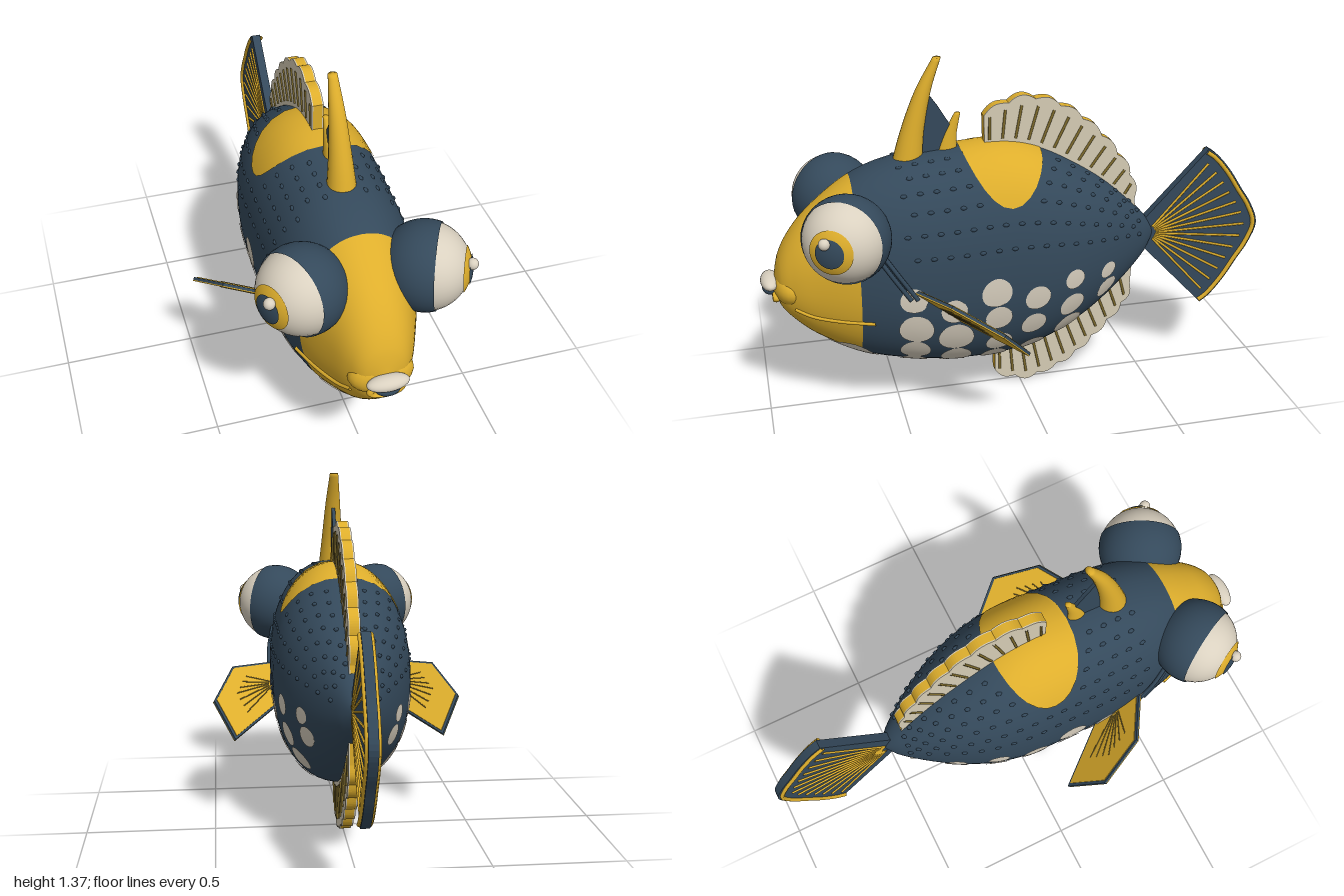
import * as THREE from 'three';
import { mergeVertices, mergeGeometries } from 'three/addons/utils/BufferGeometryUtils.js';

const V = (x, y, z) => new THREE.Vector3(x, y, z);
const mat = (name, color) => new THREE.MeshStandardMaterial({ name, color, side: THREE.DoubleSide });

// Body stations: z, top, bottom, half width
const ST = [
  [-0.548, 0.61, 0.59, 0.008], [-0.5, 0.685, 0.51, 0.06], [-0.35, 0.83, 0.37, 0.16], [-0.2, 0.935, 0.265, 0.228],
  [-0.05, 1.01, 0.195, 0.262], [0.1, 1.035, 0.163, 0.267], [0.3, 1.02, 0.163, 0.265], [0.5, 0.995, 0.195, 0.252],
  [0.65, 0.94, 0.24, 0.215], [0.8, 0.83, 0.325, 0.155], [0.88, 0.74, 0.395, 0.115], [0.93, 0.645, 0.46, 0.07], [0.948, 0.56, 0.52, 0.01],
];
const slope = (i, k) => {
  const a = ST[Math.max(i - 1, 0)], b = ST[Math.min(i + 1, ST.length - 1)];
  return (b[k] - a[k]) / (b[0] - a[0]);
};
function station(z) {
  let i = 0;
  while (i < ST.length - 2 && z > ST[i + 1][0]) i++;
  const d = ST[i + 1][0] - ST[i][0], t = THREE.MathUtils.clamp((z - ST[i][0]) / d, 0, 1);
  const [top, bot, w] = [1, 2, 3].map(k => {
    const t2 = t * t, t3 = t2 * t;
    return (2 * t3 - 3 * t2 + 1) * ST[i][k] + (t3 - 2 * t2 + t) * d * slope(i, k)
      + (3 * t2 - 2 * t3) * ST[i + 1][k] + (t3 - t2) * d * slope(i + 1, k);
  });
  return { top, bot, w, c: (top + bot) / 2, h: (top - bot) / 2 };
}
const POW = 0.92;
const sp = v => Math.sign(v) * Math.abs(v) ** POW;
// Point on the body; angle 0 is the back ridge, PI the belly
function skin(z, a, off = 0) {
  const s = station(z);
  return V((s.w + off) * sp(Math.sin(a)), s.c + (s.h + off) * sp(Math.cos(a)), z);
}
function angleAt(z, y) {
  const s = station(z), k = THREE.MathUtils.clamp((y - s.c) / s.h, -1, 1);
  return Math.acos(Math.sign(k) * Math.abs(k) ** (1 / POW));
}
// Surface facing along du x dv
function surface(fn, nu, nv) {
  const pos = [], idx = [];
  for (let i = 0; i <= nu; i++) for (let j = 0; j <= nv; j++) pos.push(...fn(i / nu, j / nv).toArray());
  for (let i = 0; i < nu; i++) for (let j = 0; j < nv; j++) {
    const a = i * (nv + 1) + j, b = a + nv + 1;
    idx.push(a, b, b + 1, a, b + 1, a + 1);
  }
  let g = new THREE.BufferGeometry();
  g.setAttribute('position', new THREE.Float32BufferAttribute(pos, 3));
  g.setIndex(idx);
  g = mergeVertices(g, 1e-5);
  g.computeVertexNormals();
  return g;
}
const bodyPart = (z0, z1, n) => surface((u, v) => skin(z0 + (z1 - z0) * u, v * Math.PI * 2), n, 56);
const patch = (z, a, rz, ra, n) => surface((u, v) => {
  const t = v * Math.PI * 2;
  return skin(z + rz * u * Math.cos(t), a + ra * u * Math.sin(t), 0.004);
}, n, 28);
const spline = pts => new THREE.CatmullRomCurve3(pts, false, 'centripetal');
const tube = (pts, r, n = 16) => new THREE.TubeGeometry(spline(pts), n, r, 6);
const rod = (a, b, r) => new THREE.TubeGeometry(new THREE.LineCurve3(a, b), 1, r, 6);
function ball(r, sx, sy, sz, x, y, z) {
  return new THREE.SphereGeometry(r, 24, 16).scale(sx, sy, sz).translate(x, y, z);
}
// Slab across x from an outline of points in the z-y plane
function slab(pts, thick, x = 0) {
  const shape = new THREE.Shape(pts.map(p => new THREE.Vector2(p.z, p.y)));
  return new THREE.ExtrudeGeometry(shape, { depth: thick, bevelEnabled: false })
    .translate(0, 0, -thick / 2).rotateY(-Math.PI / 2).translate(x, 0, 0);
}
// Mirrored copy across x = 0 with corner order restored
function mirrored(g) {
  const m = (g.index ? g.toNonIndexed() : g.clone()).scale(-1, 1, 1);
  for (const at of Object.values(m.attributes)) {
    const n = at.itemSize, A = at.array;
    for (let i = 0; i < at.count; i += 3) for (let k = 0; k < n; k++) {
      const p = (i + 1) * n + k, q = (i + 2) * n + k;
      [A[p], A[q]] = [A[q], A[p]];
    }
  }
  return m;
}

export function createModel() {
  const model = new THREE.Group();
  const blue = mat('slateBlue', 0x34495b), yellow = mat('goldenYellow', 0xdeae2c);
  const cream = mat('cream', 0xdad1c0), finCream = mat('finCream', 0xd5ccb4), olive = mat('oliveRay', 0x7d6a2c);
  const add = (name, g, m) => { const o = new THREE.Mesh(g, m); o.name = name; model.add(o); };
  const pair = (name, g, m) => { add(name + 'Left', g, m); add(name + 'Right', mirrored(g), m); };

  // Body, face and markings
  add('body', bodyPart(-0.548, 0.645, 60), blue);
  add('face', bodyPart(0.645, 0.948, 32), yellow);
  add('saddle', patch(0.08, 0, 0.155, 1.0, 14), yellow);
  add('bellyPatch', patch(0.67, Math.PI, 0.1, 0.68, 10), cream);
  const spots = [
    [0.46, 0.53, 0.05], [0.31, 0.47, 0.05], [0.15, 0.53, 0.058], [-0.01, 0.49, 0.05], [-0.16, 0.54, 0.04], [-0.31, 0.535, 0.033],
    [0.45, 0.4, 0.065], [0.3, 0.345, 0.068], [0.14, 0.42, 0.052], [0, 0.37, 0.05], [-0.155, 0.425, 0.05], [-0.31, 0.455, 0.042],
    [0.45, 0.29, 0.058], [0.29, 0.235, 0.06], [0.13, 0.295, 0.052], [-0.01, 0.24, 0.052], [-0.15, 0.325, 0.055],
  ].map(([z, y, r]) => [z, angleAt(z, y), r]);
  spots.push([0.45, 2.72, 0.052], [0.3, 2.78, 0.05], [0.14, 2.62, 0.05]);
  pair('bellySpots', mergeGeometries(spots.map(([z, a, r]) =>
    patch(z, a, r, r * 0.01 / skin(z, a).distanceTo(skin(z, a + 0.01)), 4))), cream);
  // Rows of small scale bumps on the upper flanks
  const bumps = [];
  for (let row = 0; row < 6; row++) for (let i = 0; i < 16; i++) {
    const z = 0.47 - i * 0.06 - (row % 2) * 0.03, a = 0.26 + row * 0.22;
    if (((z - 0.08) / 0.17) ** 2 + a ** 2 < 1.1) continue;
    const p = skin(z, a, -0.003);
    bumps.push(new THREE.SphereGeometry(0.01, 6, 4).scale(1, 0.8, 1.4).translate(p.x, p.y, p.z));
  }
  pair('scaleBumps', mergeGeometries(bumps), blue);

  // Eyes: nested colour bands around a slanted axis
  const q = new THREE.Quaternion().setFromUnitVectors(V(0, 1, 0), V(0.88, 0.06, 0.47).normalize());
  const band = (r, t0, t1) => new THREE.SphereGeometry(r, 36, 16, 0, Math.PI * 2, t0, t1 - t0)
    .applyQuaternion(q).translate(0.22, 0.79, 0.688);
  pair('eyeLid', band(0.162, 1.26, Math.PI), blue);
  pair('eyeWhite', band(0.158, 0.48, 1.36), cream);
  pair('iris', band(0.162, 0, 0.53), yellow);
  pair('pupil', band(0.166, 0, 0.33), blue);
  pair('eyeGlint', ball(0.021, 1, 1, 1, 0.355, 0.837, 0.778), cream);
  for (const d of [0, 0.024]) {
    const at = (z, y) => skin(z - d, angleAt(z - d, y), 0.008);
    pair('cheekGroove', tube([at(0.59, 0.72), at(0.53, 0.63), at(0.47, 0.54)], 0.009), blue);
  }

  // Snout, lips and smile line
  add('snout', ball(1, 0.118, 0.075, 0.07, 0, 0.535, 0.885), yellow);
  add('upperLip', ball(1, 0.076, 0.027, 0.035, 0, 0.555, 0.962), cream);
  add('mouth', ball(1, 0.045, 0.022, 0.03, 0, 0.527, 0.962), blue);
  add('lowerLip', new THREE.TorusGeometry(0.056, 0.013, 10, 30).scale(1, 0.4, 1).translate(0, 0.505, 0.945), yellow);
  pair('smileLine', tube([[0.88, 0.475], [0.82, 0.452], [0.72, 0.44], [0.6, 0.435]]
    .map(([z, y]) => skin(z, angleAt(z, y), 0.004)), 0.007), yellow);

  // Back spines, tapered sweeps with the membrane behind
  const spine = (pts, rx0, rx1, rz0, rz1) => {
    const c = spline(pts);
    return surface((u, v) => {
      const t = v * Math.PI * 2, k = u > 0.97 ? 0 : 1;
      return c.getPoint(Math.min(u / 0.96, 1))
        .add(V(k * (rx0 + (rx1 - rx0) * u) * Math.cos(t), 0, -k * (rz0 + (rz1 - rz0) * u) * Math.sin(t)));
    }, 25, 20);
  };
  add('frontSpine', spine([V(0, 0.97, 0.43), V(0, 1.1, 0.405), V(0, 1.25, 0.36), V(0, 1.37, 0.306)], 0.054, 0.015, 0.058, 0.013), yellow);
  add('rearSpine', spine([V(0, 0.99, 0.28), V(0, 1.07, 0.265), V(0, 1.155, 0.235)], 0.022, 0.01, 0.04, 0.01), yellow);
  add('spineMembrane', slab([V(0, 1.0, 0.4), V(0, 1.24, 0.345), V(0, 1.19, 0.31), V(0, 1.11, 0.262), V(0, 1.0, 0.26)], 0.014), blue);

  // Scalloped back and belly fins: yellow core, cream sides, slanted rays
  function longFin(name, edge, zA, zB, up) {
    const c = spline(edge.map(([z, y]) => V(0, y, z))), n = 88, outer = [], inner = [];
    const base = (t, sink) => {
      const z = zA + (zB - zA) * t, s = station(z);
      return V(0, up ? s.top - sink : s.bot + sink, z);
    };
    for (let i = 0; i <= n; i++) {
      const t = i / n, tan = c.getTangentAt(t), k = 0.015 * Math.abs(Math.sin(t * Math.PI * 8)) * (up ? 1 : -1);
      outer.push(c.getPointAt(t).add(V(0, -tan.z * k, tan.y * k)));
      if (i % 4 === 0) inner.unshift(base(t, 0.03));
    }
    const outline = [...outer, ...inner];
    add(name + 'Core', slab(outline, 0.034), yellow);
    for (const s of [-1, 1]) {
      add(name + 'Side', slab(outline, 0.005, s * 0.0195), finCream);
      const rays = [];
      for (let i = 0; i < 12; i++) {
        const t = 0.03 + i * 0.08, a = base(t, 0), b = c.getPointAt(t);
        const f = a.clone().lerp(b, 0.1), e = a.clone().lerp(b, 0.86);
        f.x = e.x = s * 0.022;
        rays.push(rod(f, e, 0.0055));
      }
      add(name + 'Rays', mergeGeometries(rays), olive);
    }
  }
  longFin('dorsalFin', [[0.14, 1.14], [0.08, 1.17], [-0.01, 1.195], [-0.1, 1.18], [-0.2, 1.13], [-0.3, 1.045], [-0.38, 0.95], [-0.44, 0.85], [-0.46, 0.75]], 0.138, -0.47, true);
  longFin('analFin', [[0.105, 0.06], [0.05, 0.035], [-0.03, 0.018], [-0.12, 0.045], [-0.2, 0.085], [-0.28, 0.15], [-0.36, 0.23], [-0.43, 0.315], [-0.455, 0.385]], 0.105, -0.46, false);

  // Tail fan with inset rim and rays
  const rear = spline([[-0.765, 0.93], [-0.8, 0.905], [-0.86, 0.835], [-0.915, 0.75], [-0.96, 0.68], [-0.99, 0.595],
    [-0.96, 0.51], [-0.915, 0.44], [-0.86, 0.355], [-0.8, 0.285], [-0.765, 0.26]].map(([z, y]) => V(0, y, z)));
  const rearPts = rear.getSpacedPoints(40), hub = V(0, 0.597, -0.52);
  add('tailFan', slab([V(0, 0.64, -0.49), ...rearPts, V(0, 0.555, -0.49)], 0.034), blue);
  for (const s of [-1, 1]) {
    const side = p => V(s * 0.018, p.y, p.z);
    add('tailRim', tube(rearPts.map(p => side(p.clone().lerp(hub, 0.035))), 0.0095, 40), yellow);
    const rays = [];
    for (let i = 0; i < 13; i++) {
      const e = rear.getPointAt(0.05 + i * 0.9 / 12);
      rays.push(rod(side(hub.clone().lerp(e, 0.08)), side(hub.clone().lerp(e, 0.88)), 0.005));
    }
    add('tailRays', mergeGeometries(rays), yellow);
  }

  // Side fins: dark core, yellow faces (the upper one inset) and fine rays
  const P = [V(0.25, 0.57, 0.455), V(0.42, 0.575, 0.35), V(0.5, 0.47, 0.18), V(0.42, 0.335, 0.07), V(0.24, 0.425, 0.28)];
  const ex = P[1].clone().sub(P[0]).normalize();
  const nz = ex.clone().cross(P[4].clone().sub(P[0])).normalize(), ey = nz.clone().cross(ex);
  const basis = new THREE.Matrix4().makeBasis(ex, ey, nz).setPosition(P[0]);
  const flat = P.map(p => { const d = p.clone().sub(P[0]); return new THREE.Vector2(d.dot(ex), d.dot(ey)); });
  const mid = flat.reduce((a, p) => a.add(p), new THREE.Vector2()).divideScalar(5);
  const plate = (k, z0, z1) => new THREE.ExtrudeGeometry(
    new THREE.Shape(flat.map(p => mid.clone().lerp(p, k))), { depth: z1 - z0, bevelEnabled: false }).translate(0, 0, z0).applyMatrix4(basis);
  pair('sideFinCore', plate(1, -0.005, 0.006), blue);
  pair('sideFinUpperFace', plate(0.93, 0.006, 0.009), yellow);
  pair('sideFinLowerFace', plate(1, -0.009, -0.005), yellow);
  const root = flat[0].clone().lerp(flat[4], 0.5), finRays = [];
  for (let i = 0; i < 7; i++) {
    const t = 0.2 + i * 0.26, k = Math.floor(t), e = flat[1 + k].clone().lerp(flat[2 + k], t - k);
    const a = root.clone().lerp(e, 0.12), b = root.clone().lerp(e, 0.65);
    for (const z of [-0.009, 0.009]) finRays.push(rod(V(a.x, a.y, z), V(b.x, b.y, z), 0.0025).applyMatrix4(basis));
  }
  pair('sideFinRays', mergeGeometries(finRays), olive);
  return model;
}
